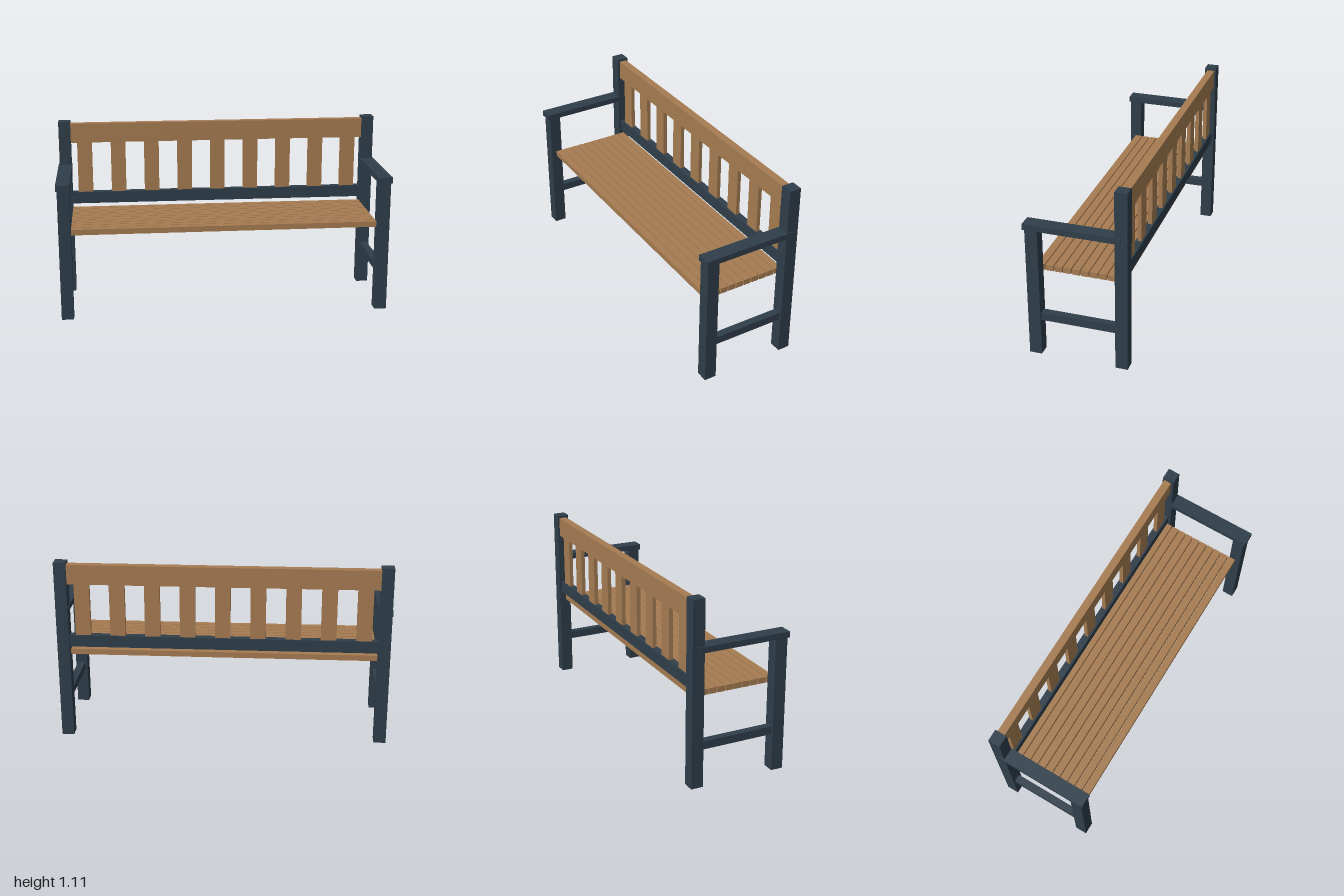
import * as THREE from 'three';

export function createModel() {
  const bench = new THREE.Group();
  bench.name = 'bench';

  const wood = new THREE.MeshStandardMaterial({ color: 0xa67c52 });
  wood.name = 'warm wood';
  const slate = new THREE.MeshStandardMaterial({ color: 0x2f3e4a });
  slate.name = 'dark slate paint';

  // Box given by its [min, max] range on each axis
  function bar(name, material, [x0, x1], [y0, y1], [z0, z1]) {
    const mesh = new THREE.Mesh(new THREE.BoxGeometry(x1 - x0, y1 - y0, z1 - z0), material);
    mesh.position.set((x0 + x1) / 2, (y0 + y1) / 2, (z0 + z1) / 2);
    mesh.name = name;
    bench.add(mesh);
  }

  // End frames, mirrored in x
  for (const [side, s] of [['left', 1], ['right', -1]]) {
    const span = (a, b) => (s > 0 ? [a, b] : [-b, -a]);
    bar(side + 'FrontLeg', slate, span(0.92, 0.993), [0, 0.8], [0.216, 0.289]);
    bar(side + 'BackPost', slate, span(0.92, 0.993), [0, 1.105], [-0.3, -0.227]);
    bar(side + 'Armrest', slate, span(0.916, 1), [0.8, 0.835], [-0.263, 0.3]);
    bar(side + 'Stretcher', slate, span(0.934, 0.979), [0.222, 0.27], [-0.227, 0.216]);
  }

  // Seat slats running along the bench
  const inner = [-0.92, 0.92];
  for (let i = 0; i < 10; i++) {
    const z = 0.232 - i * 0.052;
    bar('seatSlat' + (i + 1), wood, inner, [0.518, 0.552], [z - 0.023, z + 0.023]);
  }

  // Backrest rails and upright slats
  bar('lowerBackRail', slate, inner, [0.578, 0.65], [-0.287, -0.243]);
  bar('topBackRail', wood, inner, [0.97, 1.09], [-0.289, -0.243]);
  for (let i = 0; i < 9; i++) {
    const x = (i - 4) * 0.209;
    bar('backSlat' + (i + 1), wood, [x - 0.046, x + 0.046], [0.65, 0.97], [-0.278, -0.254]);
  }

  return bench;
}
